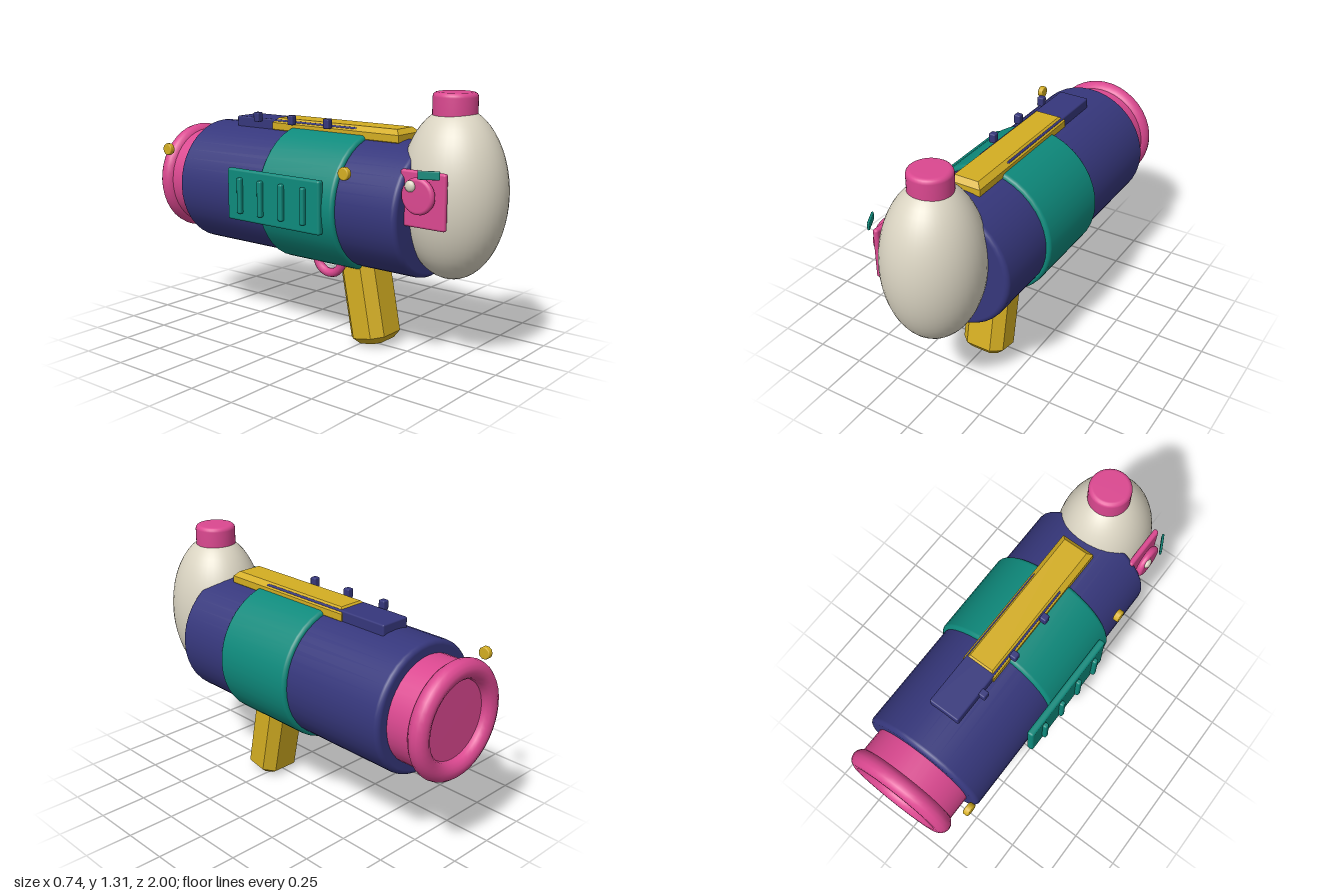
import * as THREE from 'three';
import { RoundedBoxGeometry } from 'three/addons/geometries/RoundedBoxGeometry.js';

const mat = (name, color) => {
  const m = new THREE.MeshStandardMaterial({ color });
  m.name = name;
  return m;
};

// Closed disc-like solid along +y with rounded rims (base at y = 0)
function roundedCylinder(radius, length, bevel, segments = 40) {
  const pts = [new THREE.Vector2(0, 0)];
  const steps = 4;
  for (let i = 0; i <= steps; i++) {
    const a = (i / steps) * Math.PI / 2;
    pts.push(new THREE.Vector2(radius - bevel + bevel * Math.sin(a), bevel - bevel * Math.cos(a)));
  }
  for (let i = 0; i <= steps; i++) {
    const a = (i / steps) * Math.PI / 2;
    pts.push(new THREE.Vector2(radius - bevel + bevel * Math.cos(a), length - bevel + bevel * Math.sin(a)));
  }
  pts.push(new THREE.Vector2(0, length));
  return new THREE.LatheGeometry(pts, segments);
}

// Rectangle with cut corners, extruded along +z with chamfered ends
function chamferedPrism(w, d, cut, length, bevel) {
  const x = w / 2 - bevel, y = d / 2 - bevel;
  const corners = cut > 0
    ? [[x - cut, -y], [x, -y + cut], [x, y - cut], [x - cut, y], [-x + cut, y], [-x, y - cut], [-x, -y + cut], [-x + cut, -y]]
    : [[x, -y], [x, y], [-x, y], [-x, -y]];
  const shape = new THREE.Shape(corners.map(([a, b]) => new THREE.Vector2(a, b)));
  const g = new THREE.ExtrudeGeometry(shape, {
    depth: length - 2 * bevel, bevelEnabled: true, bevelSize: bevel, bevelThickness: bevel, bevelSegments: 1,
  });
  return g.translate(0, 0, bevel);
}

export function createModel() {
  const model = new THREE.Group();
  model.name = 'toyBlaster';
  const navy = mat('navy', 0x36377c);
  const teal = mat('teal', 0x0e8a7c);
  const pink = mat('pink', 0xdb4890);
  const yellow = mat('yellow', 0xd4ae22);
  const cream = mat('cream', 0xdad4c2);
  const CX = 0.013, CY = 0.74;

  const add = (name, geometry, material, x, y, z) => {
    const m = new THREE.Mesh(geometry, material);
    m.name = name;
    m.position.set(x, y, z);
    model.add(m);
    return m;
  };
  const box = (name, material, w, h, d, r, x, y, z) =>
    add(name, new RoundedBoxGeometry(w, h, d, 2, r), material, x, y, z);
  // Rounded cylinder running from z0 to z1 on the barrel axis
  const axial = (name, material, r, z0, z1, bevel) =>
    add(name, roundedCylinder(r, z1 - z0, bevel).rotateX(Math.PI / 2), material, CX, CY, z0);

  // Barrel, band and rear nozzle
  axial('barrel', navy, 0.331, -0.785, 0.63, 0.025);
  axial('barrelBand', teal, 0.352, -0.197, 0.285, 0.02);
  axial('rearNeck', pink, 0.268, -0.95, -0.75, 0.01);
  add('rearLip', new THREE.TorusGeometry(0.246, 0.049, 14, 40), pink, CX, CY, -0.951);

  // Egg-shaped tank with its cap
  const tank = add('tank', new THREE.SphereGeometry(1, 40, 28), cream, CX + 0.003, 0.835, 0.735);
  tank.scale.set(0.243, 0.412, 0.262);
  add('tankCap', roundedCylinder(0.106, 0.125, 0.022), pink, CX + 0.003, 1.187, 0.73);

  // Tilted grip and trigger ring
  const grip = add('grip', chamferedPrism(0.24, 0.21, 0.03, 0.5, 0.035).rotateX(Math.PI / 2), yellow, 0.014, 0.505, 0.207);
  grip.rotation.x = -0.19;
  const trigger = add('triggerRing', new THREE.TorusGeometry(0.08, 0.023, 10, 28), pink, -0.122, 0.447, 0.1);
  trigger.rotation.y = Math.PI / 2;

  // Top rails and pins
  add('topRail', chamferedPrism(0.18, 0.8, 0, 0.085, 0.025).rotateX(-Math.PI / 2), yellow, 0.012, 1.037, 0.08);
  box('rearRail', navy, 0.165, 0.083, 0.805, 0.008, 0.012, 1.0715, -0.178);
  for (const z of [0.06, -0.175, -0.41])
    box('railPin', navy, 0.036, 0.05, 0.037, 0.007, -0.091, 1.121, z);

  // Side vent plate with slats
  box('ventPlate', teal, 0.036, 0.267, 0.605, 0.012, -0.338, 0.754, -0.083);
  for (let i = 0; i < 4; i++)
    box('ventSlat', teal, 0.03, 0.185, 0.028, 0.009, -0.362, 0.754, -0.29 + i * 0.138);

  // Side bolts
  for (const z of [-0.845, 0.355])
    add('bolt', roundedCylinder(0.032, 0.03, 0.006, 10).rotateZ(Math.PI / 2), yellow, -0.318, 0.936, z);

  // Dial on the side of the tank
  box('dialPlate', pink, 0.028, 0.264, 0.243, 0.012, -0.226, 0.842, 0.724);
  add('dial', roundedCylinder(0.086, 0.036, 0.016, 28).rotateZ(Math.PI / 2), pink, -0.247, 0.865, 0.72);
  const knob = add('dialKnob', new THREE.SphereGeometry(0.027, 16, 12), cream, -0.284, 0.91, 0.688);
  knob.scale.x = 0.6;
  const lever = box('dialLever', teal, 0.012, 0.04, 0.1, 0.005, -0.291, 0.971, 0.79);
  lever.rotation.y = 0.46;

  return model;
}
